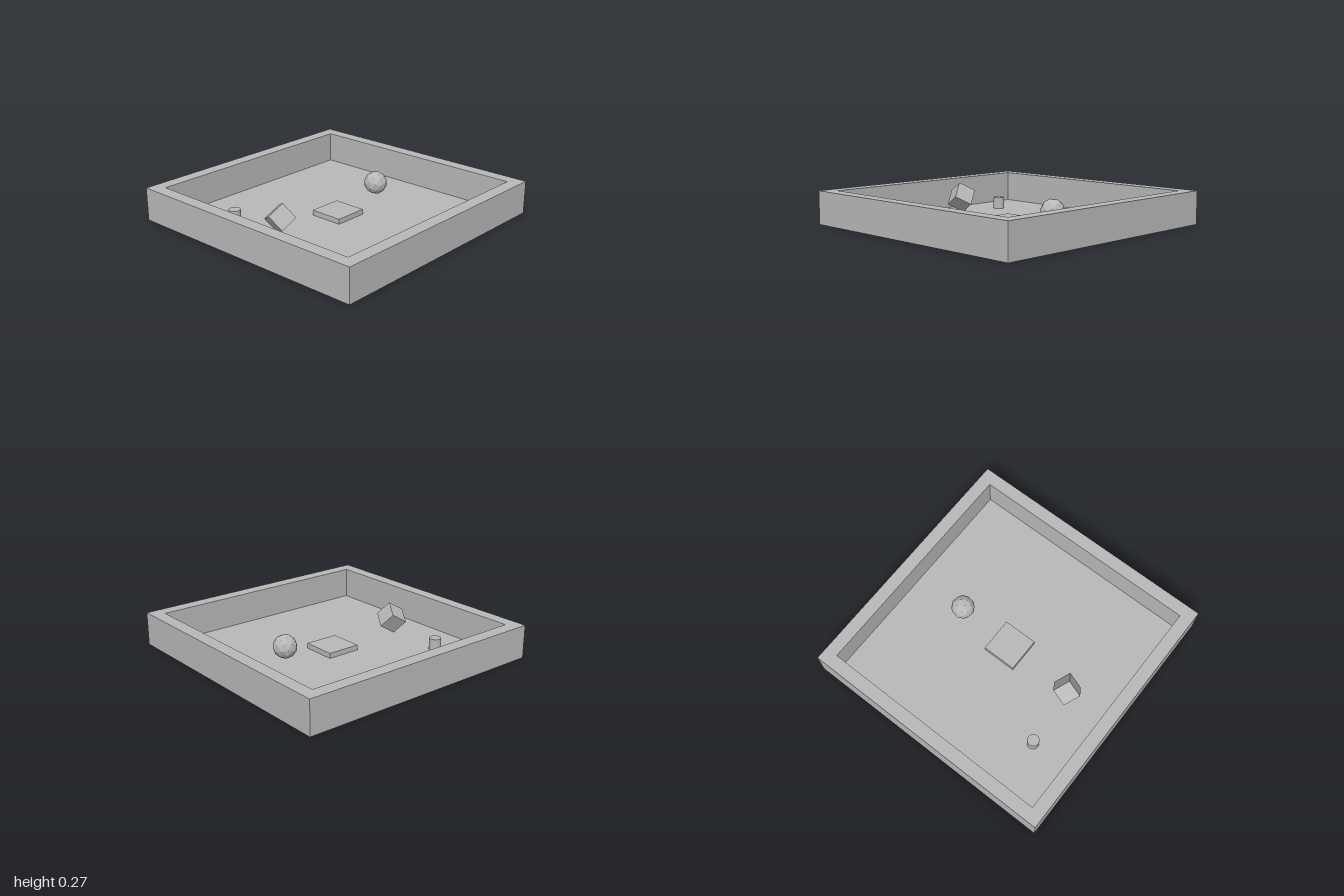
import * as THREE from 'three';

export function createModel() {
  const group = new THREE.Group();
  const grey = new THREE.MeshStandardMaterial({ color: 0xb8b8b8 });
  const flatGrey = grey;
  const FLOOR = 0.015, RIM = 0.256;

  const add = (name, geometry, x, y, z) => {
    const mesh = new THREE.Mesh(geometry, flatGrey);
    mesh.name = name;
    mesh.position.set(x, y, z);
    group.add(mesh);
    return mesh;
  };

  const square = (Type, r) => new Type([
    new THREE.Vector2(-r, -r), new THREE.Vector2(r, -r),
    new THREE.Vector2(r, r), new THREE.Vector2(-r, r),
  ]);

  // Square wall frame around a thin floor
  const frame = square(THREE.Shape, 1);
  frame.holes.push(square(THREE.Path, 0.9));
  const walls = new THREE.ExtrudeGeometry(frame, { depth: RIM, bevelEnabled: false });
  walls.rotateX(-Math.PI / 2);
  add('walls', walls, 0, 0, 0);
  add('floor', new THREE.BoxGeometry(1.8, FLOOR, 1.8), 0, FLOOR / 2, 0);

  // Low square pad in the middle
  add('centrePad', new THREE.BoxGeometry(0.267, 0.04, 0.267), 0, FLOOR + 0.02, 0);

  // Short upright post
  add('post', new THREE.CylinderGeometry(0.045, 0.045, 0.09, 32), -0.488, FLOOR + 0.045, 0.597);

  // Faceted ball (non-indexed, so its faces stay flat)
  const facets = new THREE.IcosahedronGeometry(0.09, 1);
  facets.computeVertexNormals();
  add('ball', facets, -0.005, 0.15, -0.445).rotation.set(0.3, 0.2, 0.1);

  // Tumbling cube, oriented by two of its edge directions
  const cube = add('tumblingCube', new THREE.BoxGeometry(0.141, 0.141, 0.141), -0.04, 0.149, 0.565);
  const ex = new THREE.Vector3(0.0856, -0.102, -0.048).normalize();
  const ez = ex.clone().cross(new THREE.Vector3(-0.021, -0.075, 0.118)).normalize();
  const ey = ez.clone().cross(ex);
  cube.quaternion.setFromRotationMatrix(new THREE.Matrix4().makeBasis(ex, ey, ez));

  return group;
}
